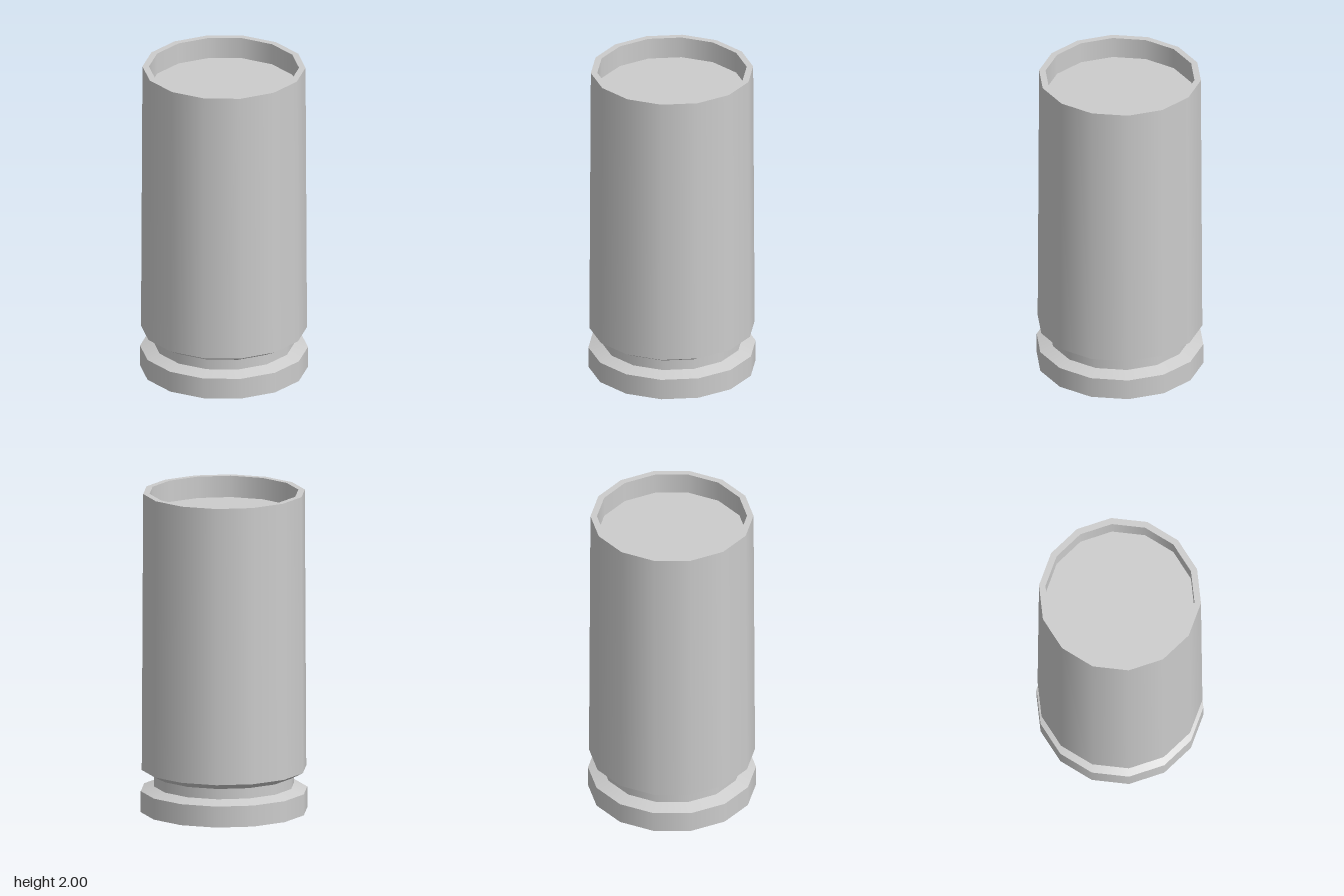
import * as THREE from 'three';

const SIDES = 14;

export function createModel() {
  const model = new THREE.Group();
  model.name = 'casing';
  const metal = new THREE.MeshStandardMaterial({ color: 0xcccccc });
  metal.name = 'grey metal';

  // Profile rings [radius, height, name of the band ending here],
  // running from the underside, up the outside and down into the mouth
  const rings = [
    [0, 0],
    [0.516, 0, 'underside'],
    [0.516, 0.132, 'baseFlange'],
    [0.434, 0.16, 'flangeBevel'],
    [0.434, 0.225, 'groove'],
    [0.51, 0.265, 'bodyBevel'],
    [0.501, 2, 'bodyWall'],
    [0.461, 2, 'rim'],
    [0.461, 1.866, 'innerWall'],
    [0, 1.866, 'innerFloor'],
  ];

  // Each band is turned on its own: smooth around, sharp at the rings
  for (let i = 1; i < rings.length; i++) {
    const points = [rings[i - 1], rings[i]].map(([r, y]) => new THREE.Vector2(r, y));
    const band = new THREE.Mesh(new THREE.LatheGeometry(points, SIDES), metal);
    band.name = rings[i][2];
    model.add(band);
  }
  return model;
}
